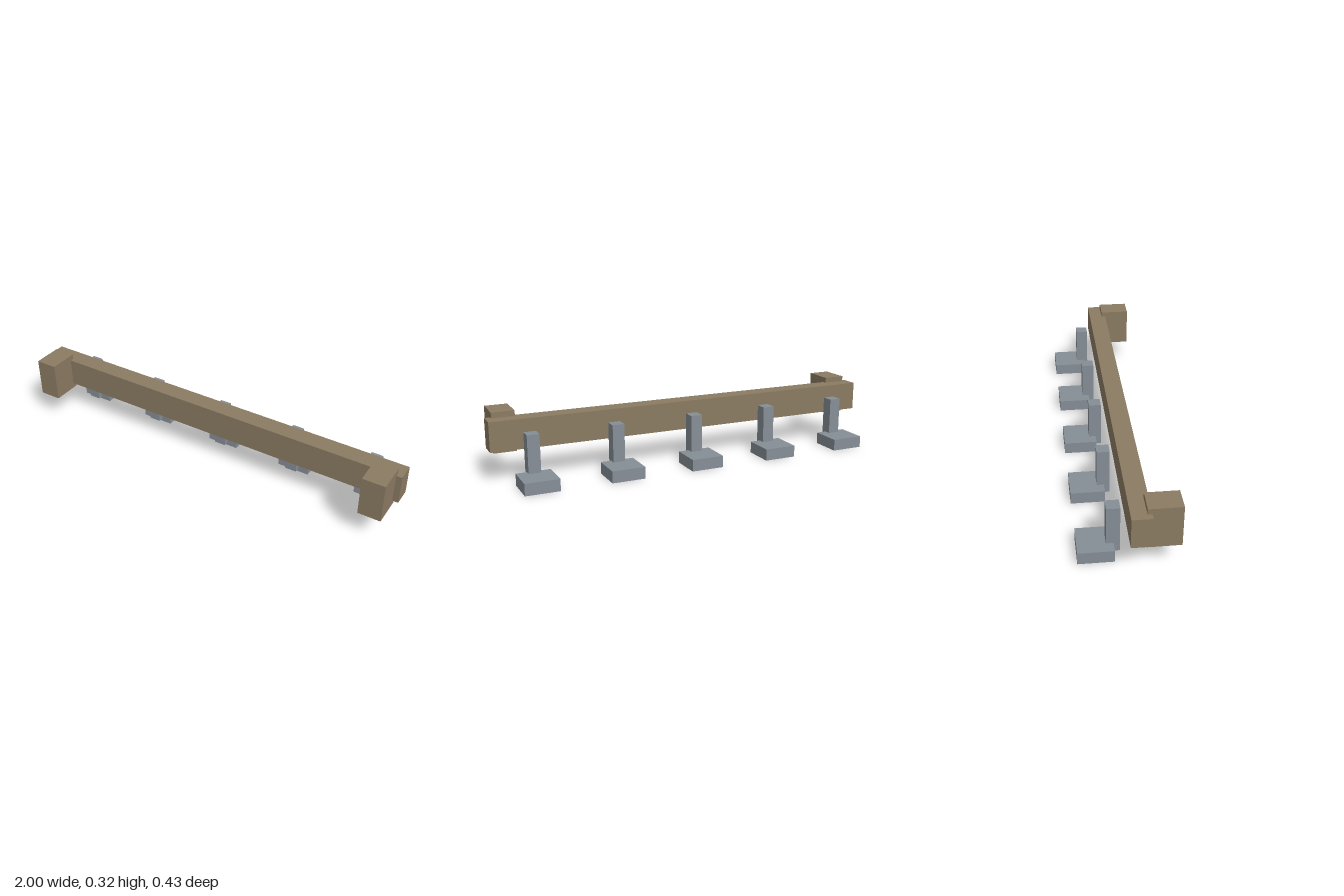
import * as THREE from 'three';

export function createModel() {
  const model = new THREE.Group();
  const wood = new THREE.MeshStandardMaterial({ color: 0x8b7b62 });
  wood.name = 'weathered wood';
  const steel = new THREE.MeshStandardMaterial({ color: 0x868e96 });
  steel.name = 'grey steel';

  // Box given by its x centre and width, and its y and z ranges
  const addBox = (parent, name, material, x, width, [y0, y1], [z0, z1]) => {
    const mesh = new THREE.Mesh(new THREE.BoxGeometry(width, y1 - y0, z1 - z0), material);
    mesh.position.set(x, (y0 + y1) / 2, (z0 + z1) / 2);
    mesh.name = name;
    parent.add(mesh);
  };

  // Long beam with a block on the front at each end
  addBox(model, 'beam', wood, 0, 2, [0.155, 0.298], [-0.003, 0.086]);
  for (const side of [-1, 1]) {
    addBox(model, side > 0 ? 'leftEndBlock' : 'rightEndBlock', wood,
      side * 0.917, 0.11, [0.129, 0.325], [0.065, 0.214]);
  }

  // Row of five posts, each on a foot plate set towards the back
  for (let i = -2; i <= 2; i++) {
    const support = new THREE.Group();
    support.name = `support${i + 3}`;
    support.position.x = i * 0.41;
    addBox(support, 'post', steel, 0, 0.059, [0.015, 0.241], [-0.088, -0.028]);
    addBox(support, 'foot', steel, 0, 0.164, [0, 0.058], [-0.214, -0.055]);
    model.add(support);
  }
  return model;
}
